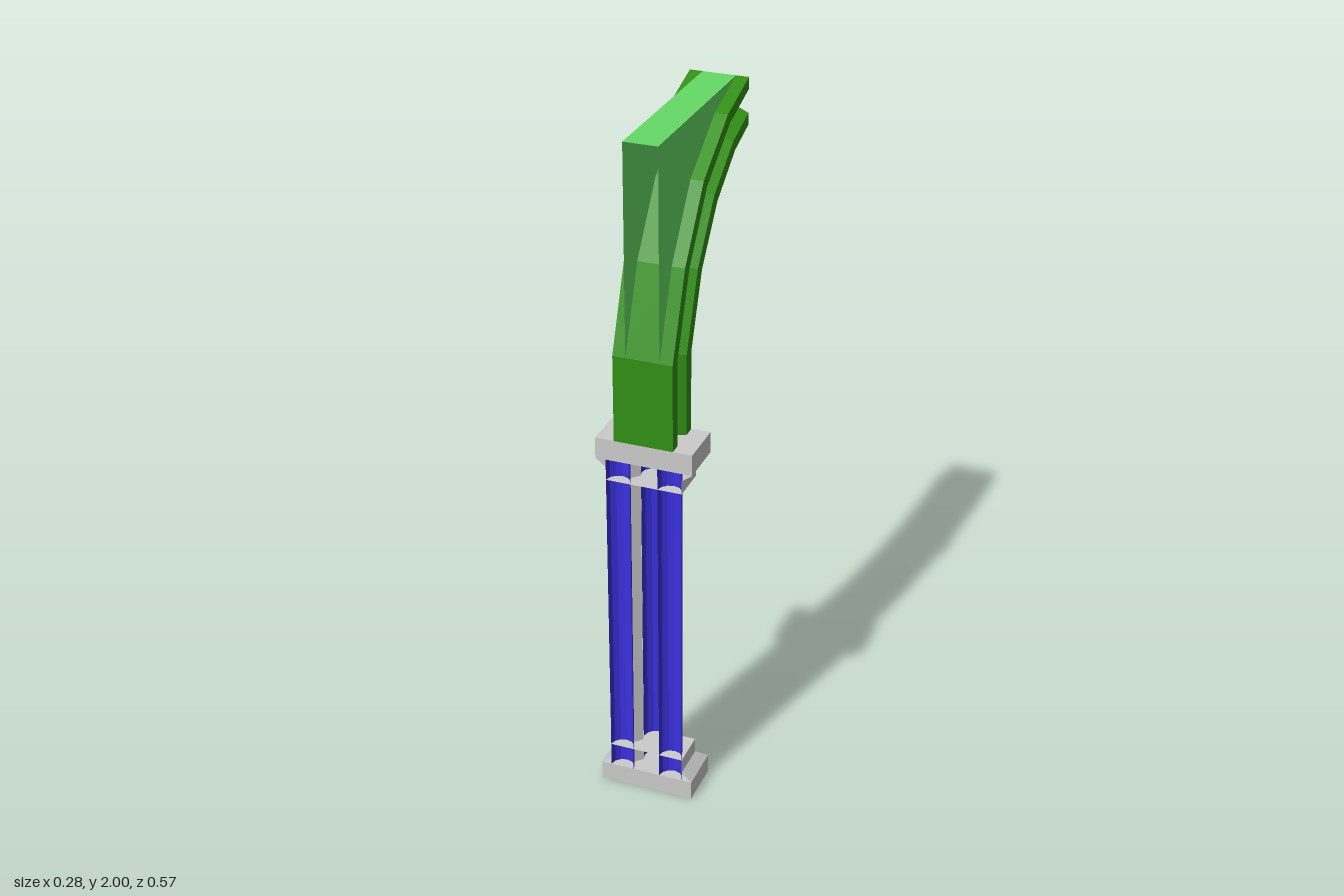
import * as THREE from 'three';

const FRONT = 0.285; // wall plane: the half pier is cut open here
const mat = (color) => new THREE.MeshStandardMaterial({ color, flatShading: true, side: THREE.DoubleSide });
const stone = mat(0xcccccc);
const shaftMat = mat(0x3a30dd);
const ribMat = mat(0x328f14);
const panelMat = mat(0x66d966);

// Skin a list of cross-sections, each a list of [x, y, z]
function loft(rows, closed = false) {
  const pos = [];
  for (let i = 0; i < rows.length - 1; i++) {
    const n = rows[i].length;
    for (let j = 0; j < (closed ? n : n - 1); j++) {
      const k = (j + 1) % n;
      const a = rows[i][j], b = rows[i][k], c = rows[i + 1][k], d = rows[i + 1][j];
      pos.push(...a, ...b, ...c, ...a, ...c, ...d);
    }
  }
  const g = new THREE.BufferGeometry();
  g.setAttribute('position', new THREE.Float32BufferAttribute(pos, 3));
  g.computeVertexNormals();
  return g;
}

// Raise a plan outline of [x, z] points between two heights
const wall = (plan, y0, y1) => loft([y0, y1].map((y) => plan.map(([x, z]) => [x, y, z])));

function arc(cx, cz, r, from, to, segments) {
  return Array.from({ length: segments + 1 }, (_, i) => {
    const a = from + ((to - from) * i) / segments;
    return [cx + r * Math.cos(a), cz - r * Math.sin(a)];
  });
}

export function createModel() {
  const model = new THREE.Group();
  const add = (parent, name, geometry, material) => {
    const mesh = new THREE.Mesh(geometry, material);
    mesh.name = name;
    parent.add(mesh);
    return mesh;
  };

  // Base and capital: slab, sloped step and narrower block open at the wall plane
  const moulding = (name, slabY, slabH, levels, plateY, plateTurn) => {
    const g = new THREE.Group();
    g.name = name;
    add(g, name + 'Slab', new THREE.BoxGeometry(0.28, slabH, 0.14), stone).position.set(0, slabY, FRONT - 0.07);
    const rows = levels.map(([y, w, back]) => [[w, y, FRONT], [w, y, back], [-w, y, back], [-w, y, FRONT]]);
    add(g, name + 'Step', loft(rows), stone);
    const plate = add(g, name + 'Plate', new THREE.PlaneGeometry(0.22, 0.11), stone);
    plate.rotation.x = plateTurn;
    plate.position.set(0, plateY, 0.23);
    model.add(g);
  };
  moulding('base', 0.029, 0.058, [[0.058, 0.14, 0.145], [0.085, 0.11, 0.175], [0.13, 0.11, 0.175]], 0.13, -Math.PI / 2);
  moulding('capital', 1.114, 0.062, [[1.02, 0.11, 0.175], [1.06, 0.11, 0.175], [1.083, 0.14, 0.145]], 1.02, Math.PI / 2);

  // Clustered shafts: two half columns at the wall, one column at the back
  const Y0 = 0.055, Y1 = 1.085, R = 0.035;
  const shafts = new THREE.Group();
  shafts.name = 'shafts';
  for (const s of [1, -1]) {
    const side = s > 0 ? 'left' : 'right';
    add(shafts, side + 'Shaft', wall(arc(s * 0.075, FRONT, R, 0, Math.PI, 6), Y0, Y1), shaftMat);
    const strip = [[s * 0.055, 0.256], [s * 0.03, 0.23]];
    add(shafts, side + 'CoreStrip', wall(s > 0 ? strip : strip.reverse(), Y0, Y1), stone);
  }
  add(shafts, 'backShaft', wall(arc(0, 0.212, R, -0.6, Math.PI + 0.6, 8), Y0, Y1), shaftMat);
  model.add(shafts);

  // Arched rib: hollow, with a groove along each side
  const outer = [[0.285, 1.145], [0.285, 1.4], [0.195, 1.64], [0.06, 1.83], [-0.12, 1.95], [-0.285, 2]];
  const inner = [[0.148, 1.145], [0.148, 1.38], [0.07, 1.585], [-0.045, 1.735], [-0.18, 1.83], [-0.285, 1.865]];
  const half = [[0.085, 0], [0.085, 0.25], [0.055, 0.35], [0.055, 0.65], [0.085, 0.75], [0.085, 1]];
  const section = [...half, ...half.map(([x, u]) => [-x, u]).reverse()];
  const ribRows = outer.map(([oz, oy], i) => {
    const [iz, iy] = inner[i];
    return section.map(([x, u]) => [x, oy + (iy - oy) * u, oz + (iz - oz) * u]);
  });
  add(model, 'archRib', loft(ribRows, true), ribMat);

  // Spandrel: two triangular walls under a flat top, open at the wall plane
  const W = 0.048;
  const spandrel = new THREE.Group();
  spandrel.name = 'spandrel';
  add(spandrel, 'spandrelTop', loft([
    [[-W, 2, FRONT], [W, 2, FRONT]],
    [[-W, 2, -FRONT], [W, 2, -FRONT]],
  ]), panelMat);
  const triangle = new THREE.Shape([[FRONT, 1.4], [FRONT, 2], [-FRONT, 2]].map(([z, y]) => new THREE.Vector2(-z, y)));
  for (const s of [1, -1]) {
    const side = add(spandrel, s > 0 ? 'leftSpandrelWall' : 'rightSpandrelWall', new THREE.ShapeGeometry(triangle), panelMat);
    side.rotation.y = Math.PI / 2;
    side.position.x = s * W;
    if (s < 0) side.scale.z = -1;
  }
  model.add(spandrel);

  return model;
}
